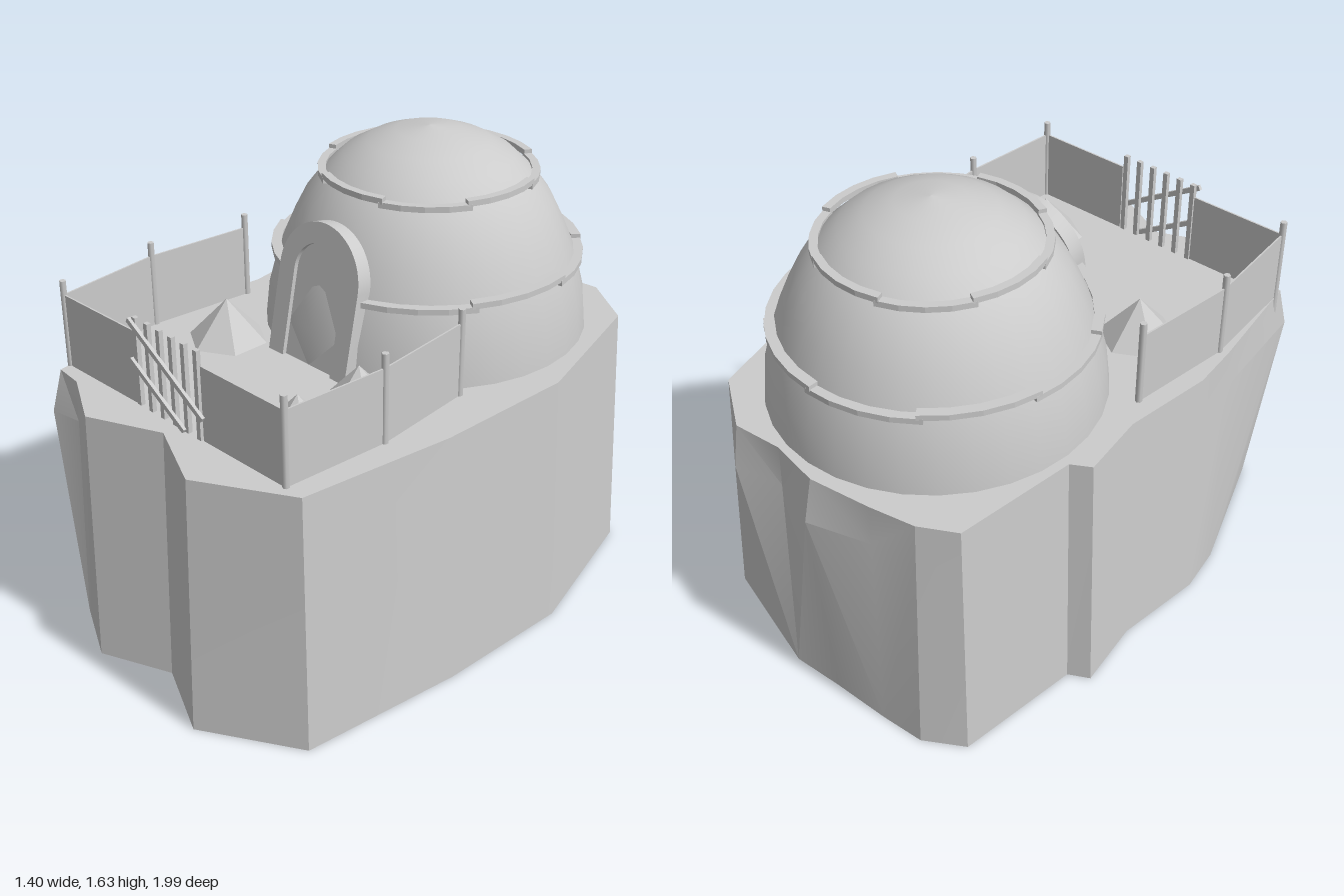
import * as THREE from 'three';
import { toCreasedNormals } from 'three/addons/utils/BufferGeometryUtils.js';

const grey = new THREE.MeshStandardMaterial({ color: 0xcccccc });
const greyDouble = new THREE.MeshStandardMaterial({ color: 0xcccccc, side: THREE.DoubleSide });
const FLOOR = 0.93;
const DOME_Z = -0.35;

export function createModel() {
  const root = new THREE.Group();
  const add = (name, geo, mat = grey, parent = root) => {
    const mesh = new THREE.Mesh(geo, mat);
    mesh.name = name;
    parent.add(mesh);
    return mesh;
  };

  // Rock columns: bottom x, z, top x, z and, where the face bulges, x, z at y = 0.78
  const columns = [
    [0.28, 0.99, 0.27, 0.95], [0.61, 0.79, 0.58, 0.77], [0.685, 0.205, 0.65, 0.22],
    [0.70, -0.30, 0.66, -0.29], [0.535, -0.85, 0.50, -0.82],
    [0.30, -0.915, 0.30, -0.95, 0.295, -0.98], [0.10, -0.97, 0.12, -0.93],
    [-0.09, -0.955, -0.06, -0.96, -0.065, -1.0], [-0.30, -0.945, -0.28, -0.925],
    [-0.457, -0.93, -0.44, -0.89], [-0.59, -0.845, -0.56, -0.82],
    [-0.63, -0.395, -0.595, -0.38], [-0.70, -0.355, -0.66, -0.34],
    [-0.657, -0.105, -0.62, -0.10], [-0.685, 0.225, -0.65, 0.23],
    [-0.65, 0.40, -0.625, 0.41], [-0.555, 0.635, -0.545, 0.83, -0.56, 0.865],
    [-0.46, 0.87, -0.44, 0.84], [-0.235, 0.98, -0.235, 0.95], [0.015, 0.87, 0.015, 0.835],
  ];
  const n = columns.length;
  const pos = [], index = [];
  for (const [bx, bz, tx, tz, mx, mz] of columns) {
    const t = 0.78 / FLOOR;
    pos.push(bx, 0, bz, mx ?? bx + (tx - bx) * t, 0.78, mz ?? bz + (tz - bz) * t, tx, FLOOR, tz);
  }
  for (let i = 0; i < n; i++) {
    const j = (i + 1) % n;
    // turn the diagonal so folds run up to the bulging corner
    const bulge = columns[i].length > 4;
    for (let k = 0; k < 2; k++) {
      const a = 3 * i + k, b = 3 * j + k;
      if (bulge) index.push(a, b, a + 1, b, b + 1, a + 1);
      else index.push(a, b, b + 1, a, b + 1, a + 1);
    }
  }
  const rock = new THREE.BufferGeometry();
  rock.setAttribute('position', new THREE.Float32BufferAttribute(pos, 3));
  rock.setIndex(index);
  add('rockWalls', toCreasedNormals(rock, 0.3), greyDouble);

  const top = new THREE.Shape(columns.map(c => new THREE.Vector2(c[2], -c[3])));
  add('rockTop', new THREE.ShapeGeometry(top).rotateX(-Math.PI / 2), greyDouble).position.y = FLOOR;

  // Dome
  const profile = [[0.565, FLOOR], [0.552, 1.05], [0.515, 1.19], [0.468, 1.3], [0.425, 1.385],
    [0.365, 1.465], [0.29, 1.535], [0.21, 1.58], [0.115, 1.615], [0, 1.63]];
  const dome = new THREE.LatheGeometry(profile.map(p => new THREE.Vector2(...p)), 32);
  add('dome', dome, greyDouble).position.z = DOME_Z;

  // Broken bands around the dome, alternating in height
  const band = (name, inner, outer, y, start, sweep, count) => {
    for (let i = 0; i < count; i++) {
      const step = sweep / count, raised = i % 2;
      const a = start + i * step - 0.02, b = start + (i + 1) * step + 0.02;
      const s = new THREE.Shape();
      s.absarc(0, 0, outer, a, b, false);
      s.absarc(0, 0, inner, b, a, true);
      const geo = new THREE.ExtrudeGeometry(s, { depth: 0.02, bevelEnabled: false, curveSegments: 2 });
      add(name, geo.rotateX(-Math.PI / 2)).position.set(0, y + raised * 0.014, DOME_Z);
    }
  };
  const front = -Math.PI / 2;
  band('upperBand', 0.35, 0.378, 1.468, front - 0.45 + Math.PI * 2 / 8, Math.PI * 2, 8);
  band('lowerBand', 0.505, 0.54, 1.185, front + 0.36, Math.PI * 2 - 0.72, 8);

  // Arched doorway leaning back against the dome
  const archPath = (Type, r, h) => {
    const p = new Type();
    p.moveTo(-r, 0);
    p.lineTo(r, 0);
    p.lineTo(r, h - r);
    p.absarc(0, h - r, r, 0, Math.PI, false);
    p.lineTo(-r, 0);
    return p;
  };
  const frame = new THREE.Shape();
  frame.moveTo(0.115, 0);
  frame.lineTo(0.185, 0);
  frame.lineTo(0.185, 0.31);
  frame.absarc(0, 0.31, 0.185, 0, Math.PI, false);
  frame.lineTo(-0.185, 0);
  frame.lineTo(-0.115, 0);
  frame.lineTo(-0.115, 0.31);
  frame.absarc(0, 0.31, 0.115, Math.PI, 0, true);
  const extrude = (shape, depth) => toCreasedNormals(
    new THREE.ExtrudeGeometry(shape, { depth, bevelEnabled: false, curveSegments: 14 }), 0.6);
  const doorway = new THREE.Group();
  doorway.name = 'doorway';
  doorway.position.set(0.003, FLOOR, 0.23);
  doorway.rotation.x = -0.2;
  add('doorFrame', extrude(frame, 0.055), grey, doorway).position.z = -0.055;
  add('doorPanel', extrude(archPath(THREE.Shape, 0.116, 0.425), 0.03), grey, doorway).position.z = -0.045;
  root.add(doorway);

  // Yard fence: thin panels strung between posts
  const box = (name, w, h, d, x, y, z) => {
    const m = add(name, new THREE.BoxGeometry(w, h, d));
    m.position.set(x, y, z);
    return m;
  };
  const left = [[0.49, 0.005], [0.53, 0.385], [0.505, 0.765], [0.14, 0.772]];
  const right = [[-0.56, 0.005], [-0.595, 0.395], [-0.55, 0.785], [-0.18, 0.776]];
  for (const run of [left, right]) {
    run.forEach(([x, z], i) => {
      if (i < 3) {
        const post = add('fencePost', new THREE.CylinderGeometry(0.012, 0.012, 0.39, 6));
        post.position.set(x, 1.045, z);
      }
      if (i === 0) return;
      const [px, pz] = run[i - 1];
      const panel = box('fencePanel', Math.hypot(x - px, z - pz), 0.34, 0.006,
        (x + px) / 2, 1.02, (z + pz) / 2);
      panel.rotation.y = Math.atan2(-(z - pz), x - px);
    });
  }

  // Gate: upright bars with two slanting rails
  for (let i = 0; i < 6; i++) box('gateBar', 0.018, 0.31, 0.016, -0.175 + i * 0.06, 1.085, 0.774);
  const rail = (x1, y1, x2, y2) => {
    const r = box('gateRail', Math.hypot(x2 - x1, y2 - y1), 0.018, 0.012,
      (x1 + x2) / 2, (y1 + y2) / 2, 0.787);
    r.rotation.z = Math.atan2(y2 - y1, x2 - x1);
  };
  rail(-0.195, 1.23, 0.155, 1.015);
  rail(-0.195, 1.09, 0.06, 0.935);

  // Low six-sided mounds in the yard
  for (const [x, z] of [[-0.335, 0.283], [0.32, 0.29], [0.32, 0.55]]) {
    const cone = new THREE.ConeGeometry(0.14, 0.15, 6);
    add('yardMound', toCreasedNormals(cone, 0.5)).position.set(x, FLOOR + 0.075, z);
  }
  return root;
}
